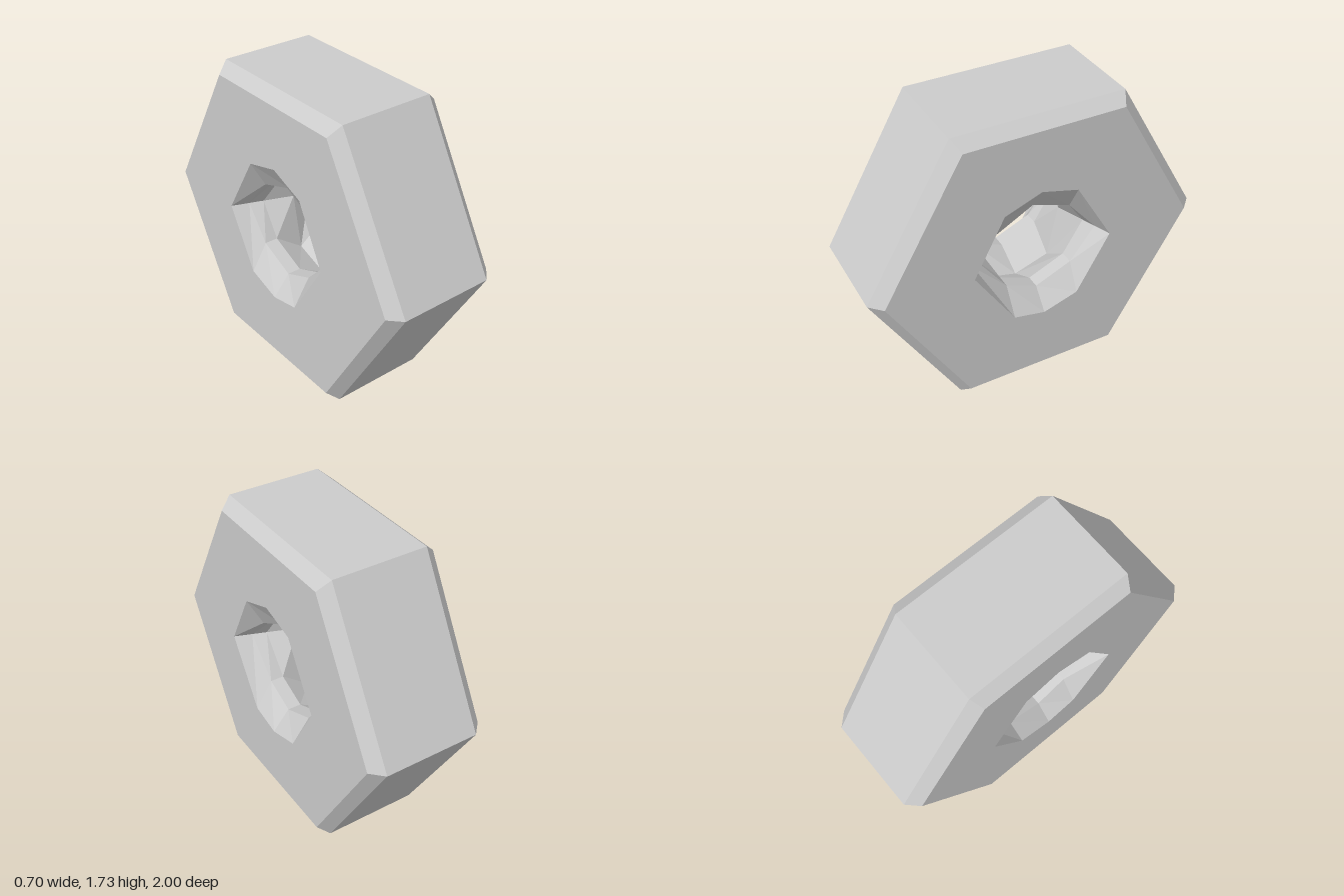
import * as THREE from 'three';

const material = new THREE.MeshStandardMaterial({ color: 0xcccccc, flatShading: true });

// Joins closed rings of [u, v, w] points; flip turns the faces towards the axis
function loft(rings, flip) {
  const pos = [];
  for (let r = 0; r < rings.length - 1; r++) {
    const a = rings[r], b = rings[r + 1], n = a.length;
    for (let i = 0; i < n; i++) {
      const j = (i + 1) % n;
      const quad = [a[i], a[j], b[j], a[i], b[j], b[i]];
      if (flip) quad.reverse();
      for (const p of quad) pos.push(...p);
    }
  }
  const geo = new THREE.BufferGeometry();
  geo.setAttribute('position', new THREE.Float32BufferAttribute(pos, 3));
  geo.computeVertexNormals();
  return geo;
}

function hexagon(radius, w) {
  return Array.from({ length: 6 }, (_, i) => {
    const a = i * Math.PI / 3;
    return [radius * Math.cos(a), radius * Math.sin(a), w];
  });
}

// Thread columns: outer (root) and inner (crest) corner of each, counterclockwise
const columns = [
  { root: [0.42, 0], crest: [0.29, 0], side: true },
  { root: [0.20, 0.375], crest: [0.21, 0.205] },
  { root: [-0.02, 0.434], crest: [-0.02, 0.285] },
  { root: [-0.24, 0.35], crest: [-0.24, 0.165] },
  { root: [-0.42, 0], crest: [-0.29, 0], side: true },
  { root: [-0.18, -0.376], crest: [-0.18, -0.215] },
  { root: [0.01, -0.416], crest: [0.01, -0.295] },
  { root: [0.22, -0.35], crest: [0.23, -0.20] },
];

// Ridge height (0 root, 1 crest) along the hole: two ridges above and below,
// meeting in a single ridge at the sides
const stations = [
  [-0.35, 0], [-0.25, 1], [-0.17, 1], [0, 0.2], [0.17, 1], [0.25, 1], [0.35, 0],
];

function threadRing([w, height]) {
  return columns.map(({ root, crest, side }) => {
    const t = side ? 1 - Math.abs(w) / 0.35 : height;
    return [0, 1].map((k) => root[k] + (crest[k] - root[k]) * t).concat(w);
  });
}

export function createModel() {
  const group = new THREE.Group();
  group.name = 'hexNut';
  const nut = new THREE.Group();
  nut.name = 'nutBody';
  const add = (name, geo) => {
    const mesh = new THREE.Mesh(geo, material);
    mesh.name = name;
    nut.add(mesh);
    return mesh;
  };

  // Six outer sides with a chamfer at both ends
  add('chamferedSides', loft([
    hexagon(0.93, -0.35), hexagon(1, -0.28), hexagon(1, 0.28), hexagon(0.93, 0.35),
  ]));

  // Flat faces around the hole
  const shape = new THREE.Shape(hexagon(0.93, 0).map(([u, v]) => new THREE.Vector2(u, v)));
  shape.holes.push(new THREE.Path(columns.map(({ root }) => new THREE.Vector2(...root))));
  const face = new THREE.ShapeGeometry(shape);
  add('leftFace', face).position.z = 0.35;
  const back = face.clone();
  const index = back.index.array;
  for (let i = 0; i < index.length; i += 3) [index[i], index[i + 1]] = [index[i + 1], index[i]];
  back.computeVertexNormals();
  add('rightFace', back).position.z = -0.35;

  // Threaded hole
  add('threadedHole', loft(stations.map(threadRing), true));

  // Lay the hole along x and stand the nut on a flat side
  nut.rotation.y = Math.PI / 2;
  nut.position.y = Math.sqrt(3) / 2;
  group.add(nut);
  return group;
}
